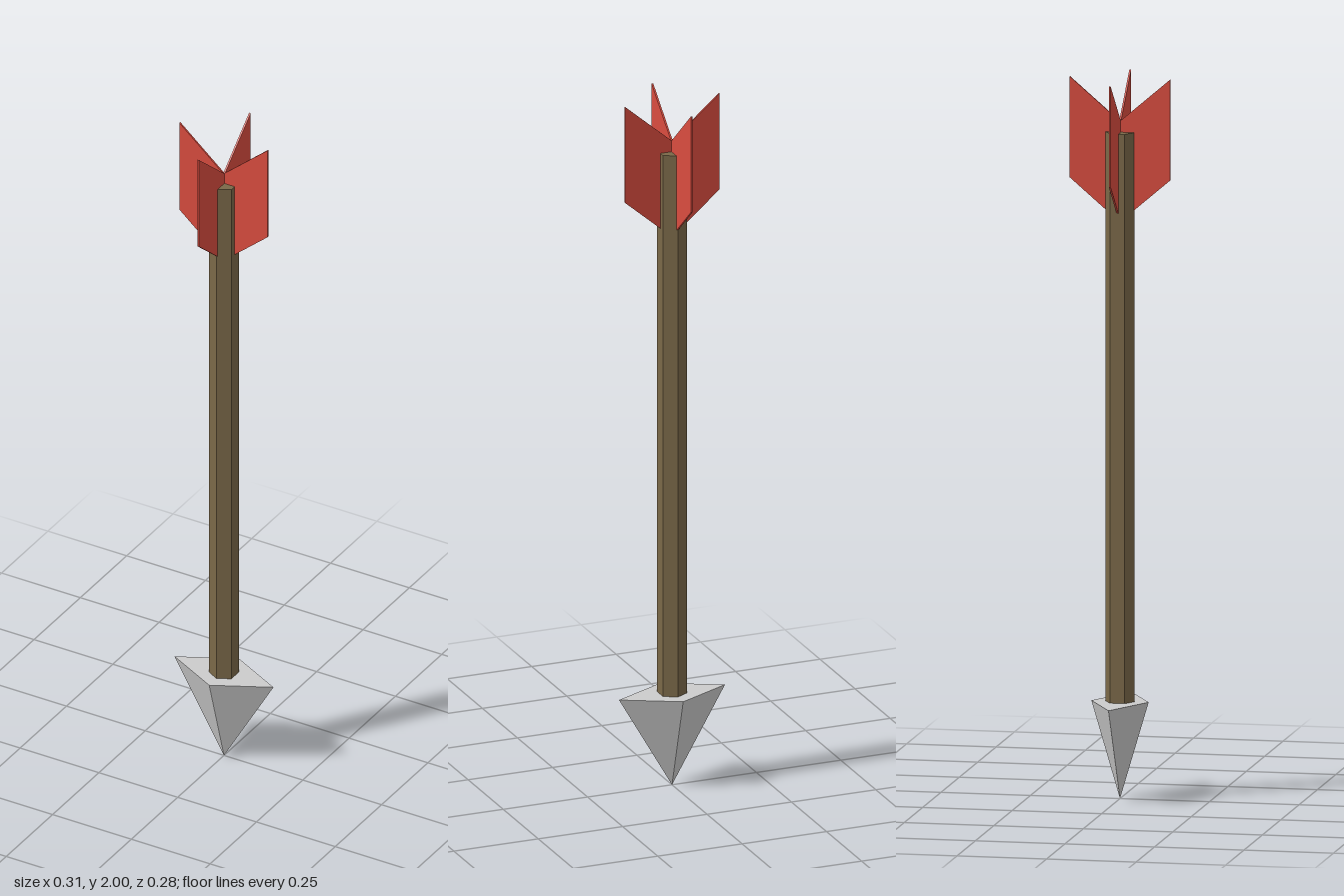
import * as THREE from 'three';

const material = (color) => new THREE.MeshStandardMaterial({ color, flatShading: true });

export function createModel() {
  const group = new THREE.Group();
  const add = (name, geometry, mat) => {
    const mesh = new THREE.Mesh(geometry, mat);
    mesh.name = name;
    group.add(mesh);
    return mesh;
  };

  // Four-sided head, flattened front to back, point resting on the ground
  const headHeight = 0.27;
  const head = new THREE.ConeGeometry(1, headHeight, 4);
  head.rotateX(Math.PI);
  head.scale(0.157, 1, 0.08);
  head.translate(0, headHeight / 2, 0);
  add('arrowhead', head, material(0xcccccc));

  // Hexagonal wooden shaft
  const shaftTop = 1.85;
  const shaft = new THREE.CylinderGeometry(0.041, 0.041, shaftTop - headHeight, 6);
  shaft.translate(0, (shaftTop + headHeight) / 2, 0);
  add('shaft', shaft, material(0x7a6848));

  // Two crossed chevron plates form the four feathers
  const thickness = 0.005;
  const outline = [[0, 1.88], [-0.14, 2], [-0.14, 1.72], [0, 1.6], [0.14, 1.72], [0.14, 2]];
  const chevron = new THREE.Shape(outline.map(([x, y]) => new THREE.Vector2(x, y)));
  const plate = new THREE.ExtrudeGeometry(chevron, { depth: thickness, bevelEnabled: false });
  plate.translate(0, 0, -thickness / 2);
  const red = material(0xd94c3f);
  add('sideFeathers', plate, red);
  add('frontBackFeathers', plate, red).rotation.y = Math.PI / 2;

  return group;
}
